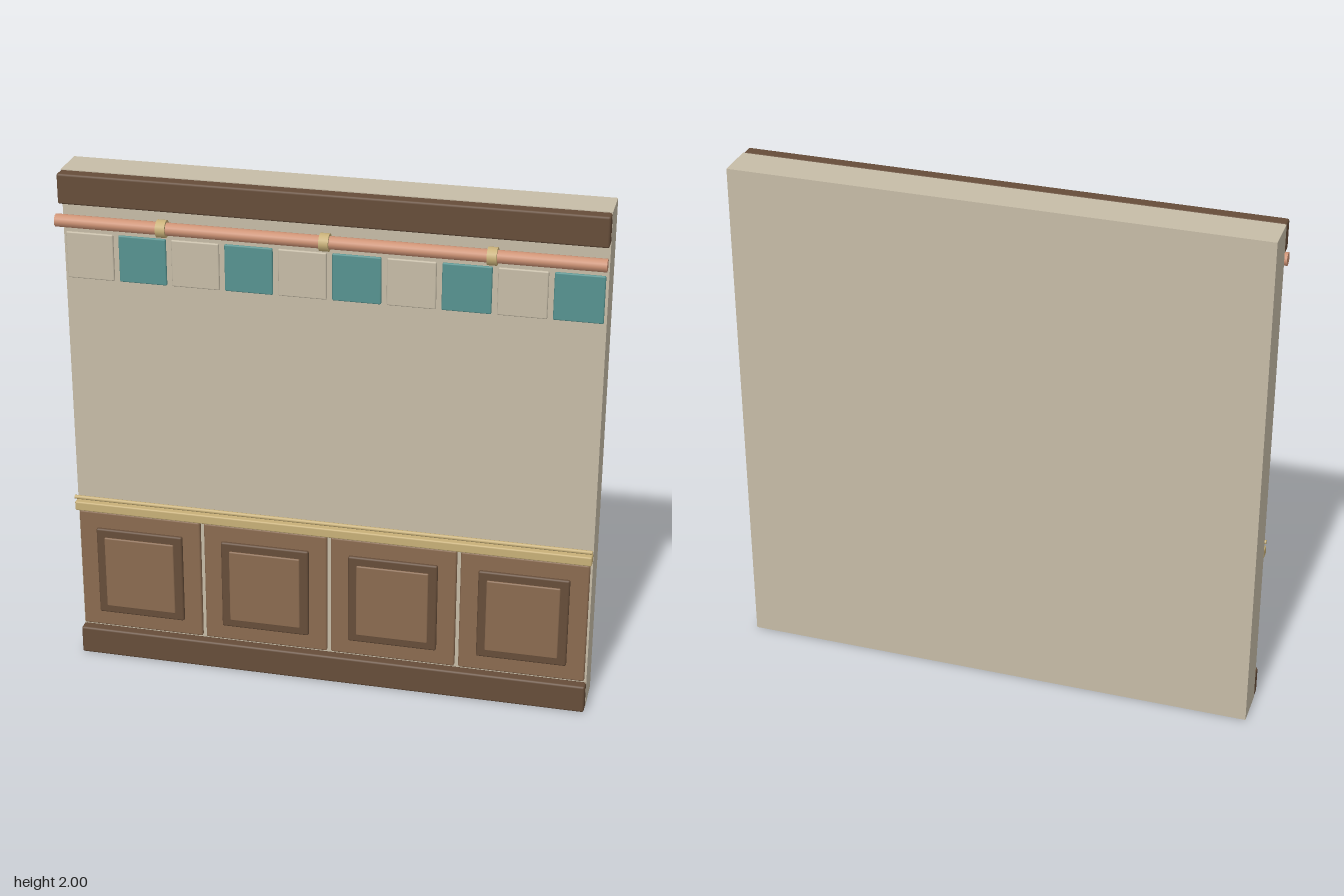
import * as THREE from 'three';
import { RoundedBoxGeometry } from 'three/addons/geometries/RoundedBoxGeometry.js';

const material = (name, color) => {
  const m = new THREE.MeshStandardMaterial({ color });
  m.name = name;
  return m;
};

export function createModel() {
  const plaster = material('plaster', 0xc6bca7);
  const darkWood = material('dark wood', 0x664d39);
  const wood = material('wood', 0x8b6b50);
  const teal = material('teal glaze', 0x579390);
  const copper = material('copper', 0xcd9274);
  const brass = material('brass', 0xc8b078);

  const model = new THREE.Group();
  model.name = 'wallSection';

  const add = (name, geometry, mat, x, y, z) => {
    const mesh = new THREE.Mesh(geometry, mat);
    mesh.name = name;
    mesh.position.set(x, y, z);
    model.add(mesh);
    return mesh;
  };
  // Bevelled block given by its centre x, width and its y and z ranges
  const block = (name, mat, x, w, y0, y1, z0, z1, bevel) =>
    add(name, new RoundedBoxGeometry(w, y1 - y0, z1 - z0, 1, bevel), mat,
      x, (y0 + y1) / 2, (z0 + z1) / 2);
  // Round bar lying along x
  const bar = (name, mat, x, y, z, radius, length, sides) =>
    add(name, new THREE.CylinderGeometry(radius, radius, length, sides).rotateZ(Math.PI / 2),
      mat, x, y, z);

  // Wall slab
  add('wall', new THREE.BoxGeometry(2, 2, 0.15), plaster, 0, 1, -0.055);

  // Long mouldings
  block('baseboard', darkWood, 0, 2, 0, 0.112, 0.02, 0.066, 0.008);
  block('crownMoulding', darkWood, 0, 2, 1.885, 2, 0.02, 0.075, 0.008);
  block('chairRail', brass, 0, 2, 0.632, 0.67, 0.022, 0.066, 0.006);
  bar('railBead', brass, 0, 0.688, 0.058, 0.008, 2, 8);

  // Wainscot panels, each with a dark frame and a raised field
  for (let i = 0; i < 4; i++) {
    const x = -0.75 + i * 0.5;
    block('wainscotPanel', wood, x, 0.485, 0.122, 0.622, 0.02, 0.042, 0.007);
    block('panelFrame', darkWood, x, 0.345, 0.188, 0.556, 0.036, 0.056, 0.007);
    block('panelField', wood, x, 0.279, 0.22, 0.522, 0.046, 0.062, 0.005);
  }

  // Row of alternating tiles
  for (let i = 0; i < 10; i++) {
    block('tile', i % 2 ? teal : plaster, -0.9 + i * 0.2, 0.18, 1.585, 1.765, 0.019, 0.032, 0.005);
  }

  // Copper pipe with brass collars
  bar('pipe', copper, 0, 1.833, 0.098, 0.024, 2, 12);
  for (const x of [-0.6, 0, 0.6]) bar('pipeCollar', brass, x, 1.833, 0.098, 0.033, 0.035, 12);

  return model;
}
